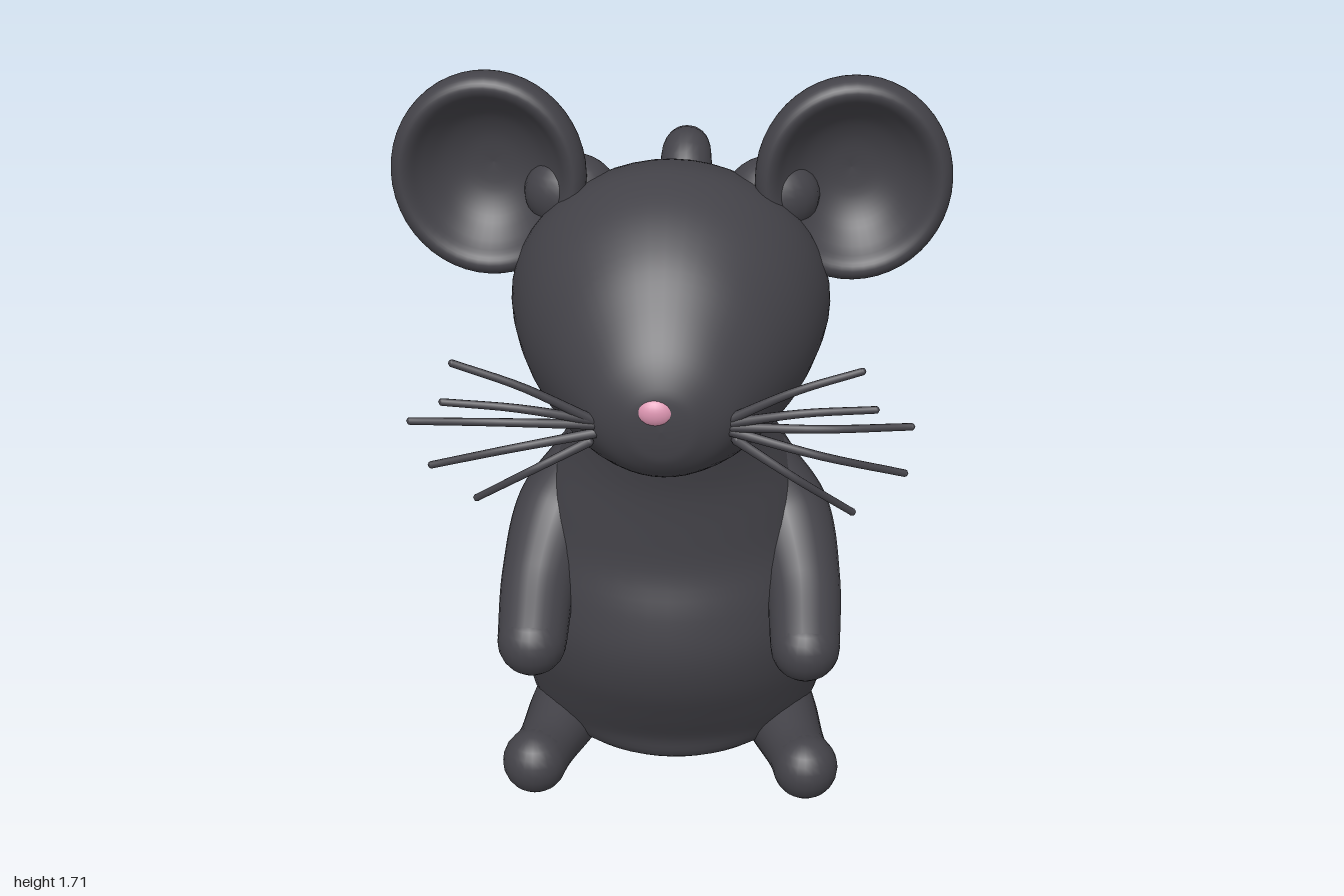
import * as THREE from 'three';

const fur = new THREE.MeshStandardMaterial({ color: 0x434248 });
fur.name = 'charcoal fur';
const pink = new THREE.MeshStandardMaterial({ color: 0xdb94b0 });
pink.name = 'pink nose';

function mesh(name, geometry, material = fur) {
  const m = new THREE.Mesh(geometry, material);
  m.name = name;
  return m;
}

// Smooth skin over ellipse stations along z: [z, centreY, radiusX, radiusY]
function loft(stations, steps = 64, sides = 48) {
  const path = new THREE.CatmullRomCurve3(stations.map(s => new THREE.Vector3(s[0], s[1], 0)), false, 'catmullrom');
  const size = new THREE.CatmullRomCurve3(stations.map(s => new THREE.Vector3(s[2], s[3], 0)), false, 'catmullrom');
  const pos = [], index = [];
  for (let i = 0; i <= steps; i++) {
    const p = path.getPoint(i / steps), r = size.getPoint(i / steps);
    for (let j = 0; j < sides; j++) {
      const a = (j / sides) * Math.PI * 2;
      pos.push(r.x * Math.cos(a), p.y + r.y * Math.sin(a), p.x);
      if (i === steps) continue;
      const k = i * sides + j, n = i * sides + (j + 1) % sides;
      index.push(k, n, k + sides, n, n + sides, k + sides);
    }
  }
  const g = new THREE.BufferGeometry();
  g.setAttribute('position', new THREE.Float32BufferAttribute(pos, 3));
  g.setIndex(index);
  g.computeVertexNormals();
  return g;
}

// Round-ended tapering tube through points [x, y, z, radius]
function limb(name, points, steps = 32, sides = 24) {
  const group = new THREE.Group();
  group.name = name;
  const curve = new THREE.CatmullRomCurve3(points.map(p => new THREE.Vector3(p[0], p[1], p[2])));
  const radii = new THREE.CatmullRomCurve3(points.map(p => new THREE.Vector3(p[3], 0, 0)), false, 'catmullrom');
  const g = new THREE.TubeGeometry(curve, steps, 1, sides);
  const pos = g.attributes.position, v = new THREE.Vector3();
  for (let i = 0; i <= steps; i++) {
    const u = i / steps, c = curve.getPointAt(u);
    const r = radii.getPoint(curve.getUtoTmapping(u)).x;
    for (let j = 0; j <= sides; j++) {
      const k = i * (sides + 1) + j;
      v.fromBufferAttribute(pos, k).sub(c).multiplyScalar(r).add(c);
      pos.setXYZ(k, v.x, v.y, v.z);
    }
  }
  group.add(mesh(name + 'Tube', g));
  for (const p of [points[0], points[points.length - 1]]) {
    const end = mesh(name + 'End', new THREE.SphereGeometry(p[3], sides, Math.ceil(sides / 2)));
    end.position.set(p[0], p[1], p[2]);
    group.add(end);
  }
  return group;
}

// Cupped ear, open towards the front
function ear(side) {
  const profile = [[0, -0.105], [0.07, -0.1], [0.13, -0.08], [0.18, -0.04], [0.21, 0.01], [0.218, 0.045],
    [0.212, 0.07], [0.195, 0.083], [0.175, 0.075], [0.15, 0.045], [0.11, 0.008], [0.06, -0.015], [0, -0.022]];
  const curve = new THREE.SplineCurve(profile.map(p => new THREE.Vector2(...p)));
  const pts = curve.getPoints(48);
  pts.forEach(p => { p.x = Math.max(p.x, 0); });
  const g = new THREE.LatheGeometry(pts, 48);
  g.rotateX(Math.PI / 2);
  const m = mesh(side > 0 ? 'leftEar' : 'rightEar', g);
  m.scale.set(0.955, 1.04, 1);
  m.position.set(side * 0.382, 1.487, 0.48);
  m.rotation.y = side * 0.06;
  return m;
}

export function createModel() {
  const model = new THREE.Group();
  model.name = 'mouse';

  // Pear-shaped body: [height, -centreZ, halfWidth, halfDepth]
  const body = loft([
    [0.03, -0.38, 0, 0], [0.035, -0.38, 0.13, 0.13], [0.06, -0.365, 0.25, 0.21], [0.12, -0.345, 0.325, 0.25],
    [0.2, -0.345, 0.347, 0.295], [0.3, -0.355, 0.355, 0.335], [0.4, -0.362, 0.352, 0.352],
    [0.5, -0.362, 0.343, 0.342], [0.6, -0.36, 0.325, 0.318], [0.7, -0.377, 0.295, 0.298],
    [0.8, -0.41, 0.25, 0.27], [0.88, -0.46, 0.212, 0.235], [0.94, -0.49, 0.205, 0.215],
    [1.0, -0.5, 0.22, 0.21], [1.06, -0.5, 0.1, 0.1]]);
  body.rotateX(-Math.PI / 2);
  model.add(mesh('body', body));

  // Head tapering to the muzzle: [z, centreY, halfWidth, halfHeight]
  model.add(mesh('head', loft([
    [0.225, 1.18, 0, 0], [0.232, 1.18, 0.07, 0.075], [0.26, 1.177, 0.155, 0.165], [0.32, 1.177, 0.235, 0.24],
    [0.4, 1.19, 0.3, 0.285], [0.5, 1.205, 0.338, 0.305], [0.59, 1.215, 0.336, 0.305],
    [0.7, 1.2, 0.305, 0.29], [0.8, 1.178, 0.253, 0.25], [0.88, 1.155, 0.2, 0.195],
    [0.945, 1.135, 0.145, 0.138], [0.98, 1.125, 0.085, 0.085], [0.99, 1.123, 0.045, 0.045], [0.993, 1.122, 0, 0]])));

  const nose = mesh('nose', new THREE.SphereGeometry(1, 24, 16), pink);
  nose.scale.set(0.043, 0.035, 0.03);
  nose.position.set(-0.012, 1.16, 0.97);
  model.add(nose);

  // Paired parts
  for (const s of [1, -1]) {
    const side = s > 0 ? 'left' : 'right';
    model.add(ear(s));
    const root = mesh(side + 'EarRoot', new THREE.SphereGeometry(1, 24, 16));
    root.scale.set(0.1, 0.085, 0.075);
    root.position.set(s * 0.215, 1.43, 0.48);
    model.add(root);
    model.add(limb(side + 'Arm', [[s * 0.2, 0.74, 0.4, 0.08], [s * 0.255, 0.64, 0.45, 0.1],
      [s * 0.295, 0.53, 0.565, 0.085], [s * 0.303, 0.437, 0.69, 0.077]]));
    model.add(limb(side + 'Foot', [[s * 0.2, 0.13, 0.28, 0.1], [s * 0.255, 0.09, 0.45, 0.086],
      [s * 0.29, 0.074, 0.56, 0.07], [s * 0.31, 0.076, 0.626, 0.074]]));
  }

  // Whiskers: [startX, startY, endX, endY, endZ]
  const whiskers = [
    [0.14, 1.13, 0.4, 1.25, 0.96], [0.14, 1.12, 0.43, 1.16, 0.95], [0.14, 1.11, 0.505, 1.1, 0.905],
    [0.14, 1.1, 0.495, 0.99, 0.9], [0.15, 1.08, 0.39, 0.905, 0.915],
    [-0.14, 1.12, -0.42, 1.255, 0.965], [-0.14, 1.12, -0.445, 1.16, 0.95], [-0.14, 1.11, -0.515, 1.105, 0.93],
    [-0.14, 1.09, -0.475, 1.005, 0.93], [-0.15, 1.07, -0.385, 0.925, 0.92]];
  whiskers.forEach(([x0, y0, x1, y1, z1], i) => model.add(limb('whisker' + (i + 1), [
    [x0, y0, 0.94, 0.011], [(x0 + x1) / 2, (y0 + y1) / 2 + 0.015, 0.962, 0.009], [x1, y1, z1, 0.008]], 10, 8)));

  // Tail rising behind with a small hook at the tip
  model.add(limb('tail', [
    [0, 0.15, 0.2, 0.11], [0, 0.115, 0.06, 0.09], [0, 0.098, -0.1, 0.073], [0, 0.09, -0.4, 0.073],
    [0, 0.122, -0.59, 0.082], [-0.005, 0.225, -0.77, 0.08], [-0.01, 0.4, -0.885, 0.075],
    [-0.015, 0.57, -0.928, 0.072], [-0.015, 0.7, -0.91, 0.071], [-0.02, 0.8, -0.857, 0.074],
    [-0.02, 0.88, -0.832, 0.073], [-0.02, 0.94, -0.85, 0.07], [-0.02, 0.975, -0.895, 0.066],
    [-0.02, 0.972, -0.938, 0.062]], 96));

  return model;
}
